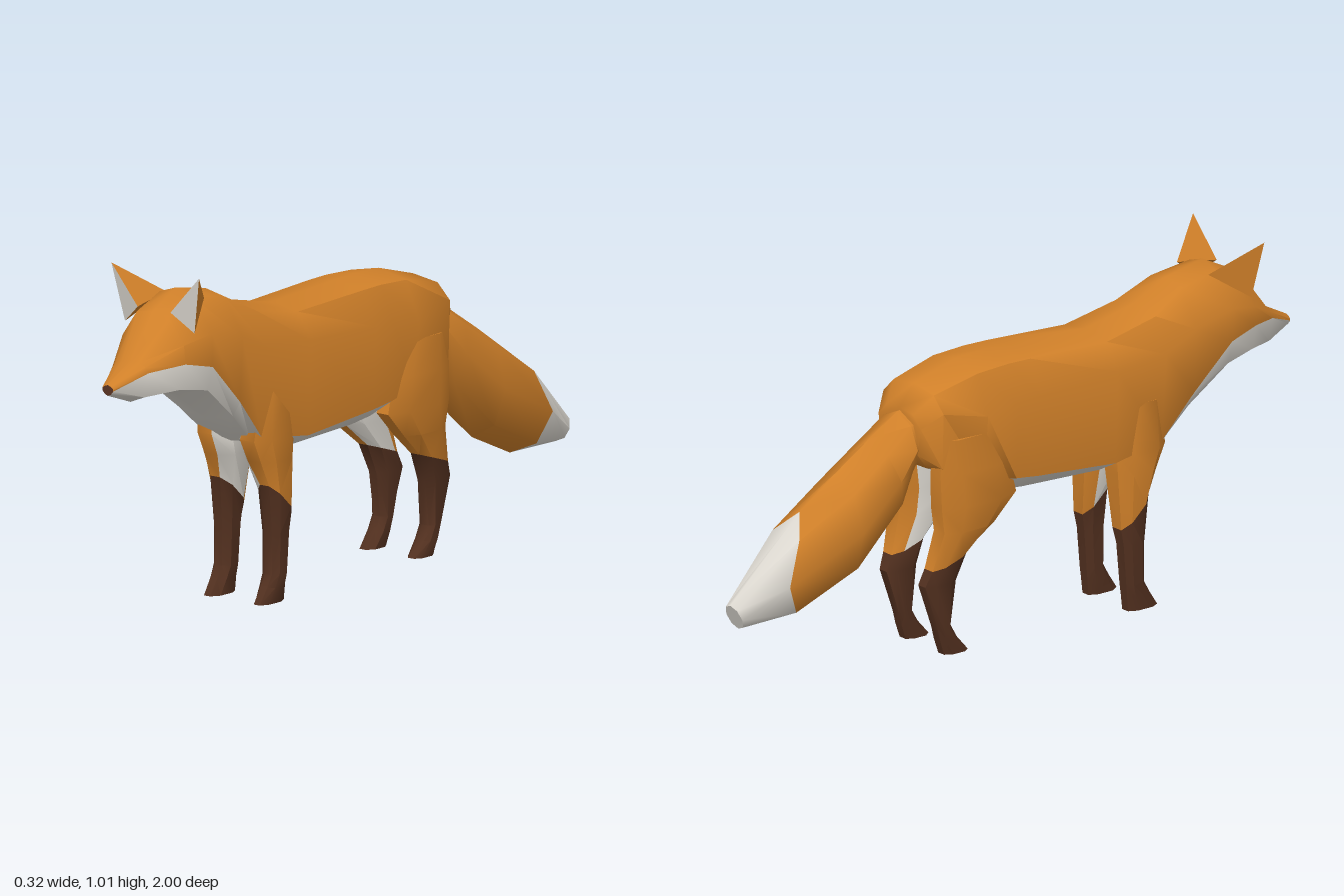
import * as THREE from 'three';
import { toCreasedNormals } from 'three/addons/utils/BufferGeometryUtils.js';

const paint = (color) => new THREE.MeshStandardMaterial({ color });
const ORANGE = 0, WHITE = 1, BROWN = 2, NOSE = 3;

// Mesh from points and faces sorted by material; flip is for mirrored parts
function surface(name, points, faces, materials, flip = false, crease = 0.8) {
  const geometry = new THREE.BufferGeometry();
  geometry.setAttribute('position', new THREE.Float32BufferAttribute(points.flat(), 3));
  const index = [];
  materials.forEach((_, m) => {
    const start = index.length;
    for (const f of faces) {
      if (f.mat === m) index.push(f.a, flip ? f.c : f.b, flip ? f.b : f.c);
    }
    if (index.length > start) geometry.addGroup(start, index.length - start, m);
  });
  geometry.setIndex(index);
  const mesh = new THREE.Mesh(toCreasedNormals(geometry, crease), materials);
  mesh.name = name;
  return mesh;
}

// Skin over rings of points; pick(row, side) gives the colour, rows -1 and last are the caps
function loft(name, rings, pick, materials, flip, crease) {
  const n = rings[0].length, last = rings.length - 1, faces = [];
  const add = (mat, a, b, c) => faces.push({ mat, a, b, c });
  for (let j = 0; j < last; j++) {
    for (let k = 0; k < n; k++) {
      const a = j * n + k, b = j * n + (k + 1) % n;
      add(pick(j, k), a, b, b + n);
      add(pick(j, k), a, b + n, a + n);
    }
  }
  for (let k = 1; k < n - 1; k++) {
    add(pick(-1, k), 0, k + 1, k);
    add(pick(last, k), last * n, last * n + k, last * n + k + 1);
  }
  return surface(name, rings.flat(), faces, materials, flip, crease);
}

// Head and trunk: z, top y, four side points (x, y), bottom y
const bodySections = [
  [1.0, 0.716, [0.012, 0.712], [0.02, 0.706], [0.02, 0.7], [0.012, 0.69], 0.685],
  [0.9, 0.768, [0.03, 0.767], [0.055, 0.757], [0.066, 0.742], [0.05, 0.67], 0.65],
  [0.8, 0.895, [0.06, 0.885], [0.112, 0.81], [0.118, 0.757], [0.1, 0.682], 0.662],
  [0.7, 0.945, [0.06, 0.925], [0.132, 0.83], [0.134, 0.735], [0.115, 0.665], 0.638],
  [0.57, 0.92, [0.07, 0.905], [0.135, 0.8], [0.126, 0.61], [0.1, 0.565], 0.545],
  [0.46, 0.868, [0.09, 0.85], [0.138, 0.75], [0.115, 0.485], [0.07, 0.475], 0.462],
  [0.28, 0.83, [0.095, 0.815], [0.146, 0.74], [0.135, 0.465], [0.06, 0.425], 0.425],
  [0.0, 0.845, [0.1, 0.828], [0.149, 0.73], [0.138, 0.49], [0.06, 0.437], 0.437],
  [-0.08, 0.848, [0.1, 0.83], [0.149, 0.72], [0.138, 0.5], [0.06, 0.447], 0.447],
  [-0.19, 0.845, [0.1, 0.825], [0.148, 0.71], [0.13, 0.52], [0.06, 0.5], 0.5],
  [-0.34, 0.803, [0.09, 0.79], [0.135, 0.745], [0.13, 0.58], [0.06, 0.565], 0.565],
  [-0.39, 0.742, [0.06, 0.735], [0.095, 0.7], [0.08, 0.62], [0.04, 0.59], 0.59],
];
const bodyRing = ([z, top, p, q, r, s, bottom]) => [
  [0, top, z], ...[p, q, r, s].map(([x, y]) => [x, y, z]),
  [0, bottom, z], ...[s, r, q, p].map(([x, y]) => [-x, y, z]),
];

// Tail: top (z, y), bottom (z, y), half width, backward push of the sides
const tailSections = [
  [-0.33, 0.74, -0.35, 0.6, 0.07, 0],
  [-0.4, 0.732, -0.39, 0.54, 0.088, 0],
  [-0.5, 0.672, -0.425, 0.45, 0.1, 0],
  [-0.62, 0.597, -0.6, 0.285, 0.112, 0],
  [-0.75, 0.51, -0.765, 0.212, 0.085, 0.095],
  [-1.0, 0.285, -0.97, 0.21, 0.036, 0],
];
function tailRing([zt, yt, zb, yb, w, push]) {
  return Array.from({ length: 8 }, (_, k) => {
    const c = Math.cos(k * Math.PI / 4), s = Math.sin(k * Math.PI / 4);
    return [w * s, (yt + yb) / 2 + c * (yt - yb) / 2 - push * s * s * 0.35,
      (zt + zb) / 2 + c * (zt - zb) / 2 - push * s * s];
  });
}

// Legs: y, back z, front z, inner x, outer x, tilt of the ring towards the front
const frontLegSections = [
  [0.62, 0.34, 0.46, 0.06, 0.13, 0],
  [0.475, 0.308, 0.482, 0.012, 0.134, 0],
  [0.41, 0.313, 0.452, 0.018, 0.132, 0],
  [0.293, 0.322, 0.42, 0.047, 0.127, 0.045],
  [0.2, 0.332, 0.406, 0.055, 0.122, 0],
  [0.08, 0.342, 0.405, 0.058, 0.12, 0],
  [0.045, 0.346, 0.425, 0.06, 0.118, 0],
  [0, 0.35, 0.455, 0.063, 0.115, 0],
];
const hindLegSections = [
  [0.66, -0.338, -0.14, 0.07, 0.142, 0],
  [0.56, -0.345, -0.1, 0.06, 0.15, 0],
  [0.46, -0.342, -0.075, 0.055, 0.155, 0],
  [0.385, -0.33, -0.15, 0.055, 0.15, 0],
  [0.295, -0.36, -0.235, 0.055, 0.13, 0.02],
  [0.23, -0.38, -0.27, 0.055, 0.118, 0],
  [0.1, -0.335, -0.288, 0.058, 0.115, 0],
  [0.06, -0.325, -0.265, 0.058, 0.115, 0],
  [0.015, -0.31, -0.225, 0.06, 0.113, 0],
];
const legOutline = [[1, 0.5], [0.5, 1], [-0.35, 1], [-1, 0.5], [-1, -0.5], [-0.5, -1], [0.5, -1], [1, -0.5]];
const legRing = (side) => ([y, z0, z1, x0, x1, tilt]) => legOutline.map(([u, v]) => [
  side * ((x0 + x1) / 2 + u * (x1 - x0) / 2), y + v * tilt, (z0 + z1) / 2 + v * (z1 - z0) / 2,
]);

export function createModel() {
  const orangeFur = paint(0xd08029), whiteFur = paint(0xdcd8d0);
  const brownFur = paint(0x52301f), nose = paint(0x5a3322);
  orangeFur.name = 'orangeFur';
  whiteFur.name = 'whiteFur';
  brownFur.name = 'brownFur';
  nose.name = 'noseBrown';
  const materials = [orangeFur, whiteFur, brownFur, nose];

  const model = new THREE.Group();
  model.name = 'fox';
  const figure = new THREE.Group();
  figure.name = 'figure';
  figure.position.x = -0.007;
  model.add(figure);

  // Head and trunk, white along jaw, chest and belly, nose on the front cap
  const rump = bodySections.length - 2;
  figure.add(loft('body', bodySections.map(bodyRing), (j, k) => {
    if (j < 0) return NOSE;
    return k >= 3 && k <= 6 && j < rump ? WHITE : ORANGE;
  }, materials, false, 0.9));

  // Tail with a white tip
  figure.add(loft('tail', tailSections.map(tailRing), (j) => (j >= 4 ? WHITE : ORANGE), materials, false, 0.9));

  // Legs with brown stockings and white inner sides
  for (const side of [1, -1]) {
    const label = side > 0 ? 'left' : 'right';
    const addLeg = (name, sections, sock) => figure.add(loft(label + name, sections.map(legRing(side)), (j, k) => {
      if (j >= sock) return BROWN;
      return k === 2 || k === 3 ? WHITE : ORANGE;
    }, materials, side < 0, 0.7));
    addLeg('FrontLeg', frontLegSections, 3);
    addLeg('HindLeg', hindLegSections, 4);

    // Pointed ear, white at the front
    const corners = [[0.16, 1.012, 0.8], [0.06, 0.9, 0.805], [0.127, 0.845, 0.78], [0.07, 0.92, 0.67]];
    const faces = [
      { mat: WHITE, a: 0, b: 1, c: 2 }, { mat: ORANGE, a: 0, b: 2, c: 3 },
      { mat: ORANGE, a: 0, b: 3, c: 1 }, { mat: ORANGE, a: 1, b: 3, c: 2 },
    ];
    model.add(surface(label + 'Ear', corners.map(([x, y, z]) => [side * x, y, z]), faces, materials, side < 0, 0.3));
  }
  return model;
}
